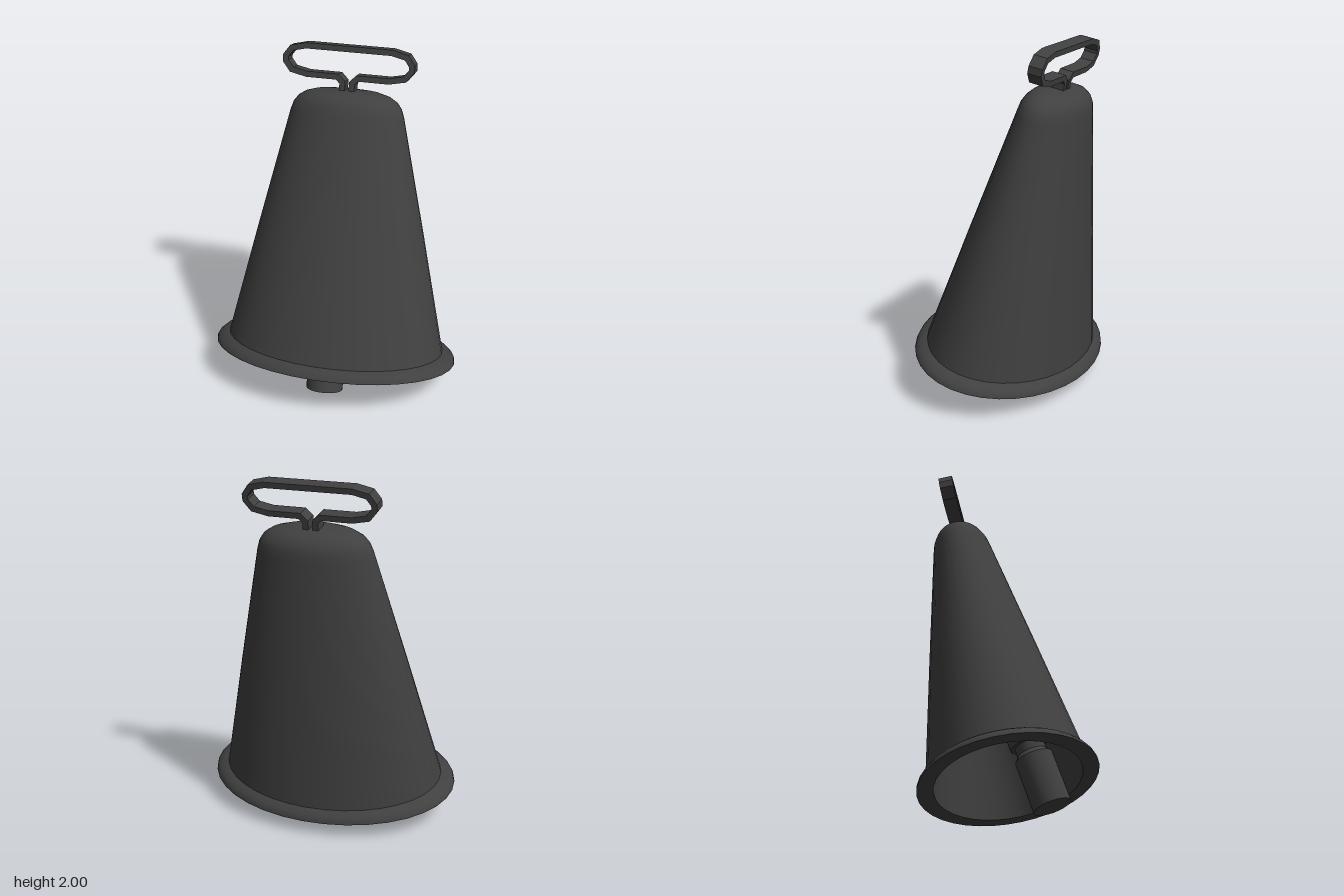
import * as THREE from 'three';

const SIDES = 36;
const TILT = -0.19;

// Skin through elliptical rings [rx, rz, y]; faces outward when rings run upward
function loft(rings) {
  const pos = [], idx = [];
  for (const [rx, rz, y] of rings) {
    for (let j = 0; j < SIDES; j++) {
      const a = (j / SIDES) * Math.PI * 2;
      pos.push(Math.sin(a) * rx, y, Math.cos(a) * rz);
    }
  }
  for (let i = 0; i < rings.length - 1; i++) {
    for (let j = 0; j < SIDES; j++) {
      const k = (j + 1) % SIDES;
      const a = i * SIDES + j, b = i * SIDES + k, c = a + SIDES, d = b + SIDES;
      idx.push(a, b, c, b, d, c);
    }
  }
  const g = new THREE.BufferGeometry();
  g.setAttribute('position', new THREE.Float32BufferAttribute(pos, 3));
  g.setIndex(idx);
  g.computeVertexNormals();
  return g;
}

// Flat strap following a polyline, with mitred corners
function strap(points, thickness, depth) {
  const p = points.map(([x, y]) => new THREE.Vector2(x, y));
  const normal = (a, b) => {
    const d = b.clone().sub(a).normalize();
    return new THREE.Vector2(-d.y, d.x);
  };
  const left = [], right = [];
  p.forEach((v, i) => {
    const n0 = normal(p[Math.max(i - 1, 0)], p[Math.max(i, 1)]);
    const n1 = i < p.length - 1 ? normal(v, p[i + 1]) : n0;
    const m = n0.clone().add(n1).normalize();
    m.multiplyScalar(thickness / 2 / m.dot(n0));
    left.push(v.clone().add(m));
    right.push(v.clone().sub(m));
  });
  const shape = new THREE.Shape([...left, ...right.reverse()]);
  const g = new THREE.ExtrudeGeometry(shape, { depth, bevelEnabled: false });
  g.translate(0, 0, -depth / 2);
  return g;
}

export function createModel() {
  const iron = new THREE.MeshStandardMaterial({ color: 0x404040 });
  iron.name = 'darkIron';
  const model = new THREE.Group();
  model.name = 'bell';

  const add = (parent, name, geometry) => {
    const mesh = new THREE.Mesh(geometry, iron);
    mesh.name = name;
    parent.add(mesh);
    return mesh;
  };

  // Leaning bell: shell, rim and handle share one tilted frame
  const body = new THREE.Group();
  body.name = 'body';
  body.position.y = 0.175;
  body.rotation.x = TILT;
  model.add(body);

  add(body, 'outerShell', loft([
    [0.665, 0.455, 0.04], [0.5, 0.317, 0.76], [0.335, 0.18, 1.46],
    [0.318, 0.17, 1.51], [0.292, 0.153, 1.545], [0.25, 0.128, 1.572],
    [0.19, 0.095, 1.59], [0.1, 0.05, 1.597], [0, 0, 1.6],
  ]));
  add(body, 'rim', loft([
    [0.74, 0.508, 0], [0.735, 0.503, 0.018], [0.717, 0.488, 0.036],
    [0.69, 0.468, 0.05], [0.655, 0.445, 0.06],
  ]));
  add(body, 'rimUnderside', loft([[0.63, 0.415, 0], [0.74, 0.508, 0]]));
  add(body, 'innerShell', loft([
    [0, 0, 1.56], [0.2, 0.09, 1.55], [0.28, 0.13, 1.5],
    [0.3, 0.145, 1.45], [0.63, 0.415, 0],
  ]));

  // Handle: one bent strap with both ends set in the crown
  const half = [
    [0.028, 1.56], [0.028, 1.643], [0.058, 1.673], [0.24, 1.673], [0.33, 1.692],
    [0.368, 1.74], [0.368, 1.77], [0.335, 1.815], [0.25, 1.835],
  ];
  const mirrored = half.map(([x, y]) => [-x, y]).reverse();
  add(body, 'handle', strap([...half, ...mirrored], 0.033, 0.081));

  // Clapper: hangs from the crown, swung further forward than the bell
  const clapper = new THREE.Group();
  clapper.name = 'clapper';
  clapper.position.set(0, 0.036, 0.236);
  clapper.rotation.x = -0.335;
  model.add(clapper);
  const turned = (name, y, h, rBottom, rTop) => {
    add(clapper, name, new THREE.CylinderGeometry(rTop, rBottom, h, 24)).position.y = y + h / 2;
  };
  turned('clapperWeight', 0, 0.3, 0.109, 0.109);
  turned('clapperShoulder', 0.3, 0.03, 0.109, 0.085);
  turned('clapperNeck', 0.33, 0.05, 0.085, 0.085);
  turned('clapperCollar', 0.38, 0.08, 0.109, 0.109);
  turned('clapperRod', 0.46, 1.14, 0.05, 0.05);

  return model;
}
